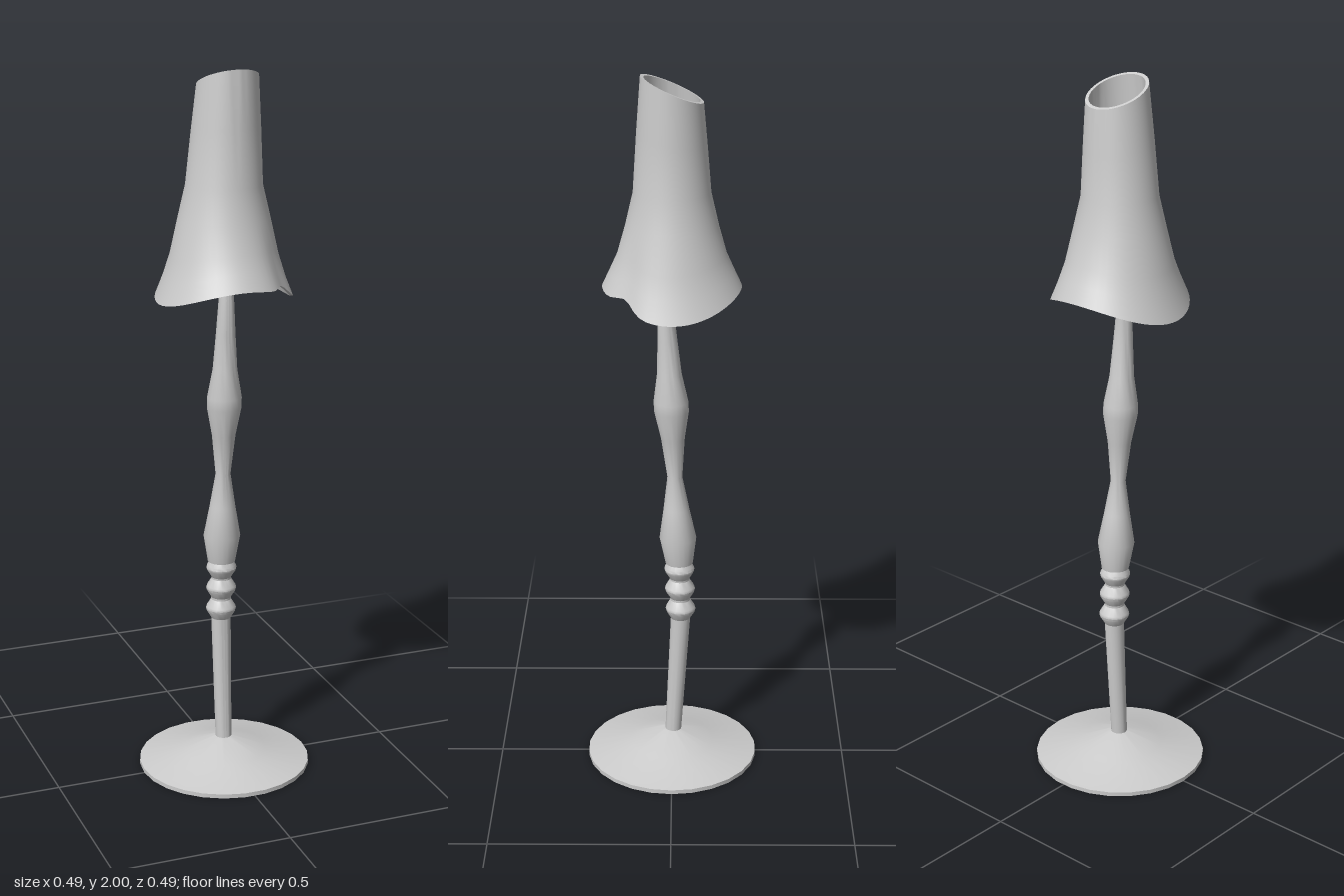
import * as THREE from 'three';
import { toCreasedNormals } from 'three/addons/utils/BufferGeometryUtils.js';

const material = new THREE.MeshStandardMaterial({ color: 0xcccccc, side: THREE.DoubleSide });

// Turned part from [radius, height] pairs, with an optional rule that moves each vertex
function turned(name, profile, segments, move, crease = 0.6) {
  const points = profile.map(([r, y]) => new THREE.Vector2(r, y));
  const geometry = new THREE.LatheGeometry(points, segments, Math.PI / 2);
  if (move) {
    const pos = geometry.attributes.position;
    const v = new THREE.Vector3();
    for (let i = 0; i < pos.count; i++) {
      move(v.fromBufferAttribute(pos, i));
      pos.setXYZ(i, v.x, v.y, v.z);
    }
  }
  const mesh = new THREE.Mesh(toCreasedNormals(geometry, crease), material);
  mesh.name = name;
  return mesh;
}

// The stem leans back, then forward, then back again inside the shade
const leanPath = [[0, 0], [0.08, -0.004], [0.45, -0.025], [0.62, -0.02], [1.1, 0.003], [1.38, 0.018], [1.52, -0.007]];
function lean(v) {
  for (let i = 1; i < leanPath.length; i++) {
    const [y0, z0] = leanPath[i - 1], [y1, z1] = leanPath[i];
    if (v.y <= y1 + 1e-6) {
      v.z += THREE.MathUtils.mapLinear(v.y, y0, y1, z0, z1);
      return;
    }
  }
}

// Slanted top rim, wavy bottom rim, and one pinch at the front left
function shapeShade(v) {
  const angle = Math.atan2(v.z, v.x);
  const low = 1 - THREE.MathUtils.smoothstep(v.y, 1.4, 1.6);
  const high = THREE.MathUtils.smoothstep(v.y, 1.7, 1.96);
  const pinch = Math.exp(-(((angle - 0.8) / 0.24) ** 2));
  const squeeze = 1 - 0.1 * pinch * low;
  v.x = v.x * squeeze + 0.01 * high;
  v.y += low * (-0.028 * Math.cos(2 * angle) + 0.022 * pinch) + high * 0.42 * v.z;
  v.z *= squeeze;
}

export function createModel() {
  const lamp = new THREE.Group();
  lamp.name = 'lamp';

  // Shallow conical foot
  lamp.add(turned('base', [
    [0, 0], [0.245, 0], [0.245, 0.012], [0.12, 0.04], [0.028, 0.076], [0, 0.078],
  ], 26, null, 0.5));

  // Tapered lower shaft
  lamp.add(turned('lowerStem', [[0, 0.06], [0.023, 0.06], [0.028, 0.45], [0.028, 0.62], [0, 0.62]], 20, lean));

  // Three turned rings
  for (const y of [0.467, 0.53, 0.592]) {
    lamp.add(turned('collar', [
      [0.027, y - 0.03], [0.041, y - 0.007], [0.043, y], [0.041, y + 0.007], [0.027, y + 0.03],
    ], 20, lean));
  }

  // Double-swelling upper shaft
  lamp.add(turned('upperStem', [
    [0, 0.612], [0.039, 0.612], [0.052, 0.69], [0.036, 0.78], [0.021, 0.875], [0.033, 0.99],
    [0.048, 1.07], [0.048, 1.1], [0.034, 1.18], [0.027, 1.28], [0.021, 1.38], [0.02, 1.52], [0, 1.52],
  ], 20, lean));

  // Thin flared shade, outer wall then inner wall
  const wall = [[0.188, 1.405], [0.167, 1.455], [0.147, 1.51], [0.125, 1.6], [0.104, 1.69], [0.094, 1.83], [0.083, 1.965]];
  const inner = wall.map(([r, y]) => [r - 0.009, y]).reverse();
  lamp.add(turned('shade', [...wall, ...inner, wall[0]], 52, shapeShade));

  return lamp;
}
